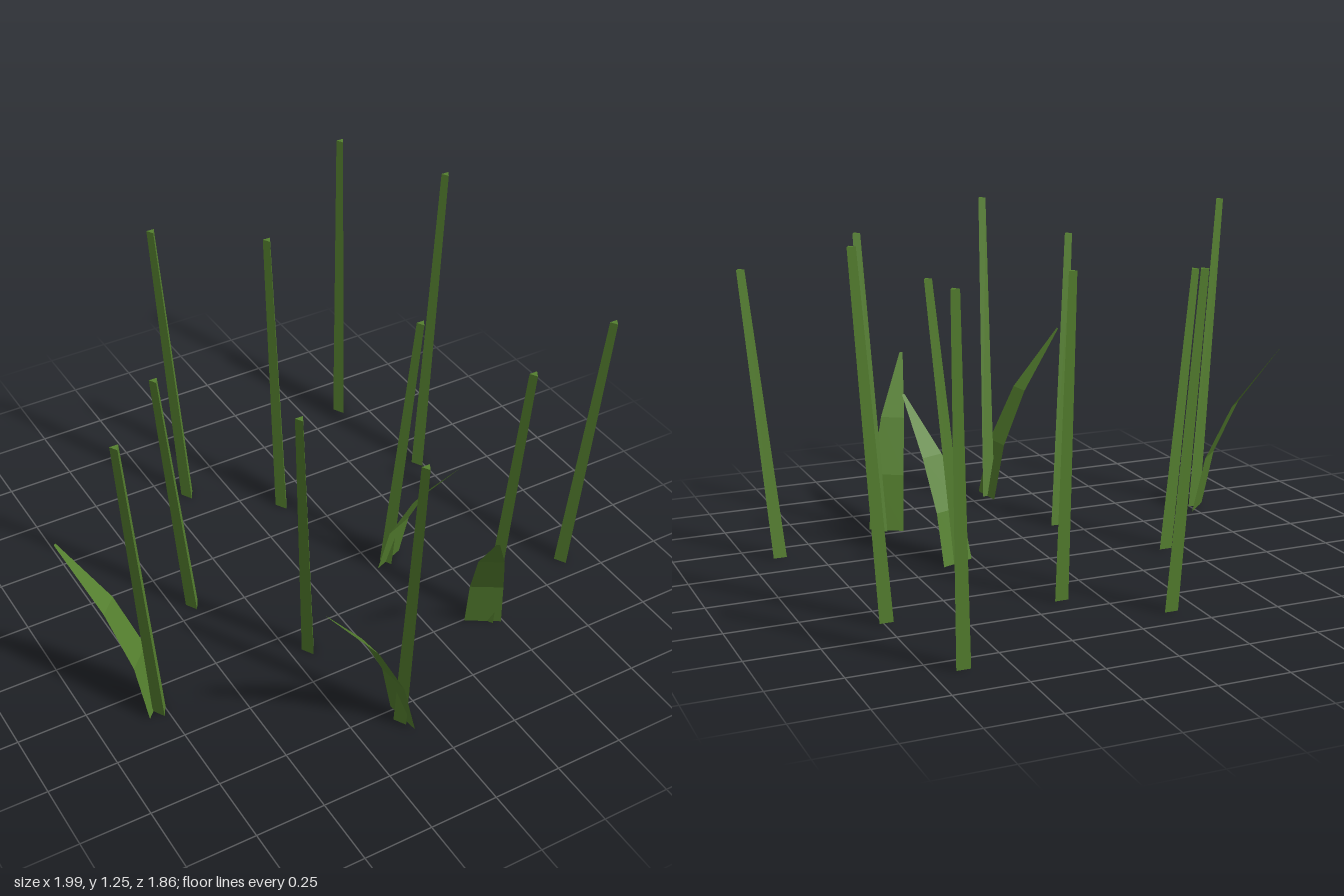
import * as THREE from 'three';

// Stalks: base x, base z, top x, top z, height
const STALKS = [
  [-0.77, 0.36, -0.875, 0.393, 1.2],
  [-0.43, -0.058, -0.525, -0.075, 1.03],
  [-0.18, 0.355, -0.26, 0.43, 1.1],
  [-0.155, -0.635, -0.203, -0.735, 1.16],
  [-0.08, 0.805, -0.108, 0.917, 1.18],
  [0.135, -0.395, 0.144, -0.505, 1.14],
  [0.315, 0.085, 0.418, 0.087, 1.035],
  [0.46, 0.54, 0.5, 0.622, 1.12],
  [0.65, -0.82, 0.698, -0.922, 1.195],
  [0.74, -0.356, 0.845, -0.422, 1.25],
  [0.885, 0.407, 0.98, 0.433, 1.05],
];

// Leaves: base x, base z, tip x, tip z, height
const LEAVES = [
  [-0.773, 0.328, -0.995, 0.11, 0.66],
  [-0.073, 0.8, -0.4, 0.837, 0.65],
  [0.32, 0.085, 0.423, 0.348, 0.57],
  [0.435, 0.54, 0.276, 0.795, 0.62],
];

// Leaf rows: share of height, share of reach, half width
const ROWS = [[0, 0, 0.066], [0.33, 0.15, 0.059], [0.65, 0.46, 0.045], [1, 1, 0.006]];

// Three-sided tapering stalk, sheared so that it leans
function stalkGeometry([bx, bz, tx, tz, h]) {
  const g = new THREE.CylinderGeometry(0.017, 0.028, h, 3);
  g.translate(0, h / 2, 0);
  const p = g.attributes.position;
  for (let i = 0; i < p.count; i++) {
    const t = p.getY(i) / h;
    p.setX(i, p.getX(i) + bx + (tx - bx) * t);
    p.setZ(i, p.getZ(i) + bz + (tz - bz) * t);
  }
  g.computeVertexNormals();
  return g;
}

// Flat strip that bends outward and narrows to its tip
function leafGeometry([bx, bz, tx, tz, h]) {
  const dx = tx - bx, dz = tz - bz, len = Math.hypot(dx, dz);
  const positions = [], index = [];
  ROWS.forEach(([up, out, w], r) => {
    for (const s of [-1, 1]) {
      positions.push(bx + dx * out + (s * w * dz) / len, h * up, bz + dz * out - (s * w * dx) / len);
    }
    if (r > 0) {
      const a = 2 * r - 2;
      index.push(a, a + 1, a + 3, a, a + 3, a + 2);
    }
  });
  const g = new THREE.BufferGeometry();
  g.setAttribute('position', new THREE.Float32BufferAttribute(positions, 3));
  g.setIndex(index);
  g.computeVertexNormals();
  return g;
}

export function createModel() {
  const group = new THREE.Group();
  group.name = 'reeds';
  const green = new THREE.MeshStandardMaterial({ color: 0x55802f, flatShading: true, side: THREE.DoubleSide });
  green.name = 'reed green';

  const add = (geometry, name) => {
    const mesh = new THREE.Mesh(geometry, green);
    mesh.name = name;
    group.add(mesh);
  };
  STALKS.forEach((s, i) => add(stalkGeometry(s), `stalk${i + 1}`));
  LEAVES.forEach((l, i) => add(leafGeometry(l), `leaf${i + 1}`));
  return group;
}
